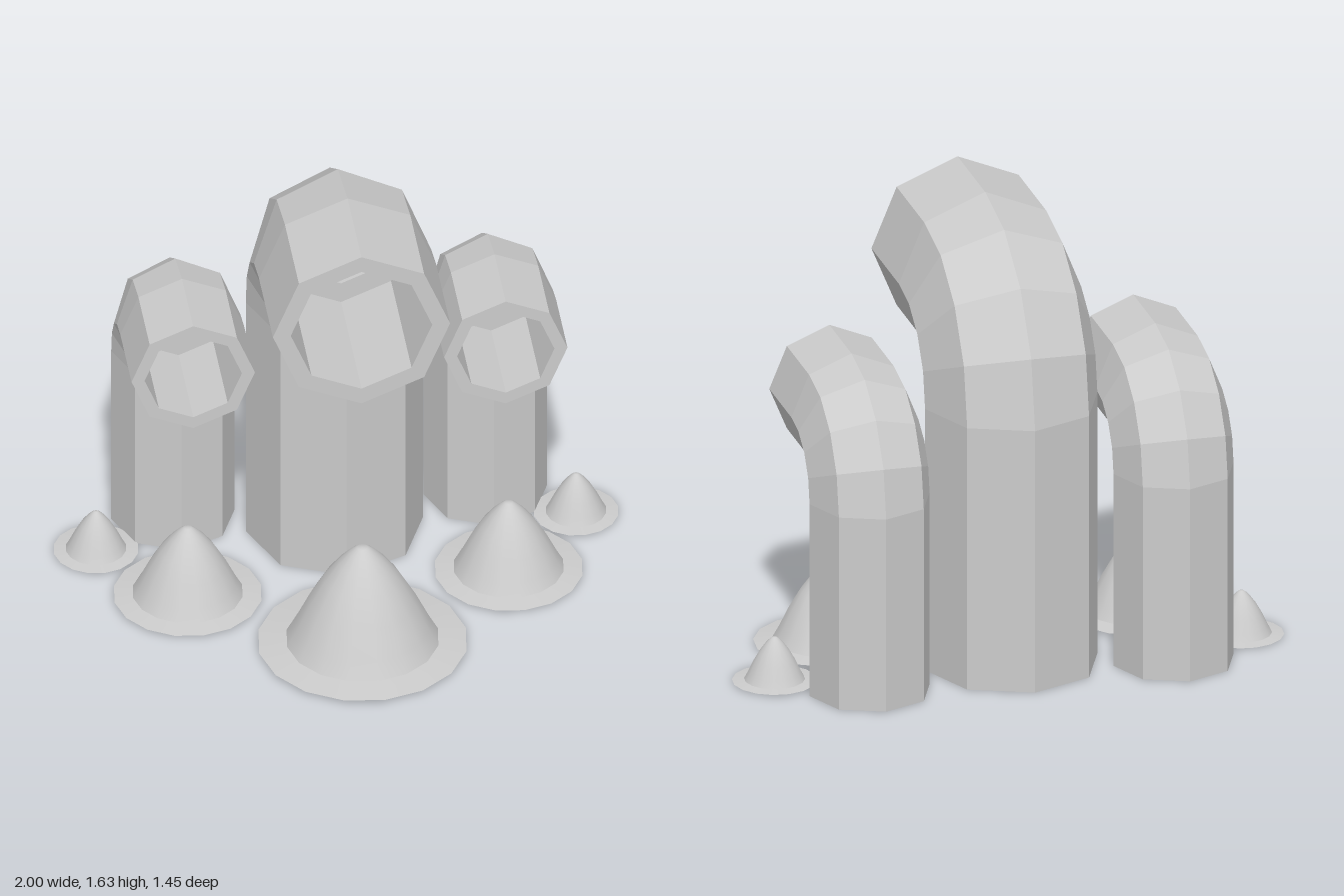
import * as THREE from 'three';

const pipeMaterial = new THREE.MeshStandardMaterial({ color: 0xcccccc, flatShading: true, side: THREE.DoubleSide });
const moundMaterial = new THREE.MeshStandardMaterial({ color: 0xcccccc, side: THREE.DoubleSide });

// Skin a chain of octagonal rings; t is the tilt from lying flat (0) to facing +z (PI/2)
function skinRings(rings, sides = 8) {
  const pos = [], index = [];
  for (const { z, y, t, r } of rings) {
    for (let i = 0; i < sides; i++) {
      const a = (i / sides) * Math.PI * 2, s = r * Math.sin(a);
      pos.push(r * Math.cos(a), y + s * Math.sin(t), z - s * Math.cos(t));
    }
  }
  for (let j = 0; j < rings.length - 1; j++) {
    for (let i = 0; i < sides; i++) {
      const k = (i + 1) % sides;
      const a = j * sides + i, b = j * sides + k, c = b + sides, d = a + sides;
      if (rings[j].r > 0) index.push(a, b, c);
      if (rings[j + 1].r > 0) index.push(a, c, d);
      else if (rings[j].r > 0) index.push();
    }
  }
  const g = new THREE.BufferGeometry();
  g.setAttribute('position', new THREE.Float32BufferAttribute(pos, 3));
  g.setIndex(index);
  const flat = g.toNonIndexed();
  flat.computeVertexNormals();
  return flat;
}

// Upright pipe that bends forward and ends in a bored mouth
function makePipe(name, { x, r, bore, bendZ, bendY, bendR, mouthZ, boreZ, recess }) {
  const H = Math.PI / 2, topY = bendY + bendR, steps = 4;
  const rings = [
    { z: bendZ - bendR, y: 0, t: 0, r: 0 },
    { z: bendZ - bendR, y: 0, t: 0, r },
  ];
  for (let i = 0; i <= steps; i++) {
    const t = (i / steps) * H;
    rings.push({ z: bendZ - bendR * Math.cos(t), y: bendY + bendR * Math.sin(t), t, r });
  }
  rings.push({ z: mouthZ, y: topY, t: H, r });
  rings.push({ z: mouthZ, y: topY, t: H, r: bore });
  rings.push({ z: boreZ, y: topY, t: H, r: bore });
  // Narrower tapering recess at the back of the bore
  if (recess) {
    rings.push({ z: boreZ, y: topY, t: H, r: recess });
    rings.push({ z: boreZ - 0.18, y: topY - 0.06, t: H, r: recess * 0.6 });
    rings.push({ z: boreZ - 0.18, y: topY - 0.06, t: H, r: 0 });
  } else {
    rings.push({ z: boreZ, y: topY, t: H, r: 0 });
  }
  const mesh = new THREE.Mesh(skinRings(rings), pipeMaterial);
  mesh.name = name;
  mesh.position.x = x;
  return mesh;
}

// Hollow bell-shaped mound with a thin sloping brim
function makeMound(name, x, z, r, brimR, h) {
  const group = new THREE.Group();
  group.name = name;
  const y0 = h * 0.055;
  const profile = [[1, y0 / h], [0.88, 0.2], [0.7, 0.45], [0.5, 0.68], [0.31, 0.85], [0.17, 0.95], [0.07, 1], [0, 1]]
    .map(([pr, py]) => new THREE.Vector2(pr * r, py * h));
  const bell = new THREE.Mesh(new THREE.LatheGeometry(profile, 16), moundMaterial);
  bell.name = 'bell';
  const brim = new THREE.Mesh(new THREE.LatheGeometry(
    [new THREE.Vector2(brimR, h * 0.025), new THREE.Vector2(r, y0)], 16), moundMaterial);
  brim.name = 'brim';
  group.add(bell, brim);
  group.rotation.y = 0.08;
  group.position.set(x, 0, z);
  return group;
}

export function createModel() {
  const model = new THREE.Group();
  model.name = 'pipeCluster';

  // Tall centre pipe with a small cone deep in its mouth
  model.add(makePipe('centrePipe', {
    x: 0, r: 0.313, bore: 0.25, bendZ: -0.03, bendY: 0.98, bendR: 0.342, mouthZ: 0.33, boreZ: -0.2, recess: 0.17,
  }));
  const cone = new THREE.Mesh(new THREE.ConeGeometry(0.09, 0.12, 12), pipeMaterial);
  cone.name = 'innerCone';
  cone.rotation.x = Math.PI / 2;
  cone.position.set(0, 1.275, -0.31);
  model.add(cone);

  // Shorter side pipes
  for (const [side, s] of [['left', 1], ['right', -1]]) {
    model.add(makePipe(side + 'Pipe', {
      x: 0.552 * s, r: 0.218, bore: 0.172, bendZ: -0.27, bendY: 0.72, bendR: 0.237, mouthZ: 0.02, boreZ: -0.36,
    }));
    model.add(makeMound(side + 'Mound', 0.567 * s, -0.015, 0.195, 0.262, 0.29));
    model.add(makeMound(side + 'SmallMound', 0.848 * s, -0.33, 0.107, 0.15, 0.165));
  }
  model.add(makeMound('centreMound', 0, 0.355, 0.27, 0.37, 0.41));
  return model;
}
